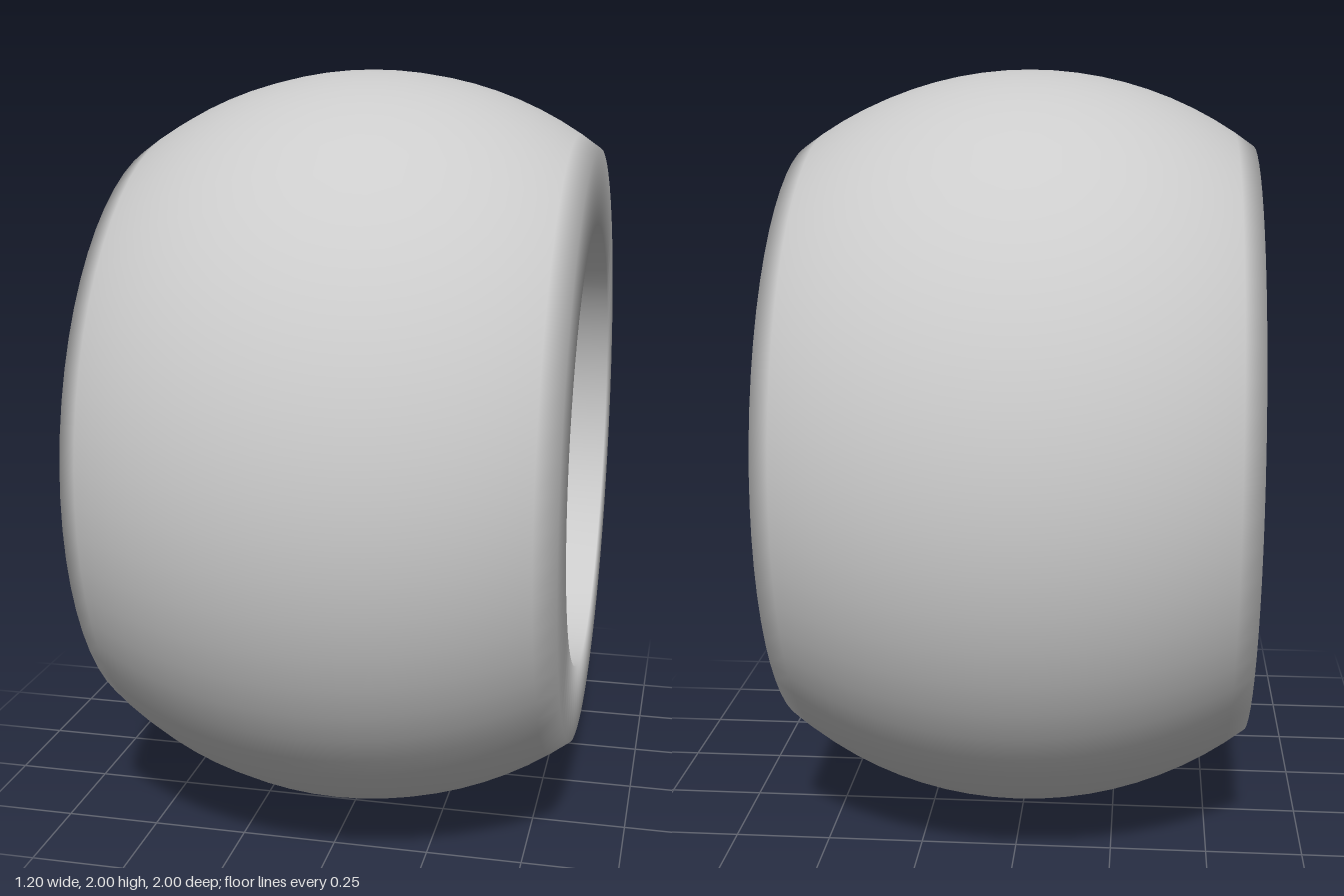
import * as THREE from 'three';

export function createModel() {
  const group = new THREE.Group();
  group.name = 'sphericalBead';

  const grey = new THREE.MeshStandardMaterial({ color: 0xcccccc });
  grey.name = 'plain grey';

  const radius = 1, halfWidth = 0.6, bore = 0.6;

  // Closed profile: bore, flat end, spherical outside, flat end, bore
  const profile = [new THREE.Vector2(bore, 0), new THREE.Vector2(bore, -halfWidth)];
  const limit = Math.asin(halfWidth / radius);
  const steps = 20;
  for (let i = 0; i <= steps; i++) {
    const a = -limit + (2 * limit * i) / steps;
    profile.push(new THREE.Vector2(radius * Math.cos(a), radius * Math.sin(a)));
  }
  profile.push(new THREE.Vector2(bore, halfWidth), new THREE.Vector2(bore, 0));

  // Ring turned about the x axis, resting on the ground
  const geometry = new THREE.LatheGeometry(profile, 64);
  geometry.rotateZ(-Math.PI / 2);
  const ring = new THREE.Mesh(geometry, grey);
  ring.name = 'ring';
  ring.position.y = radius;
  group.add(ring);

  return group;
}
